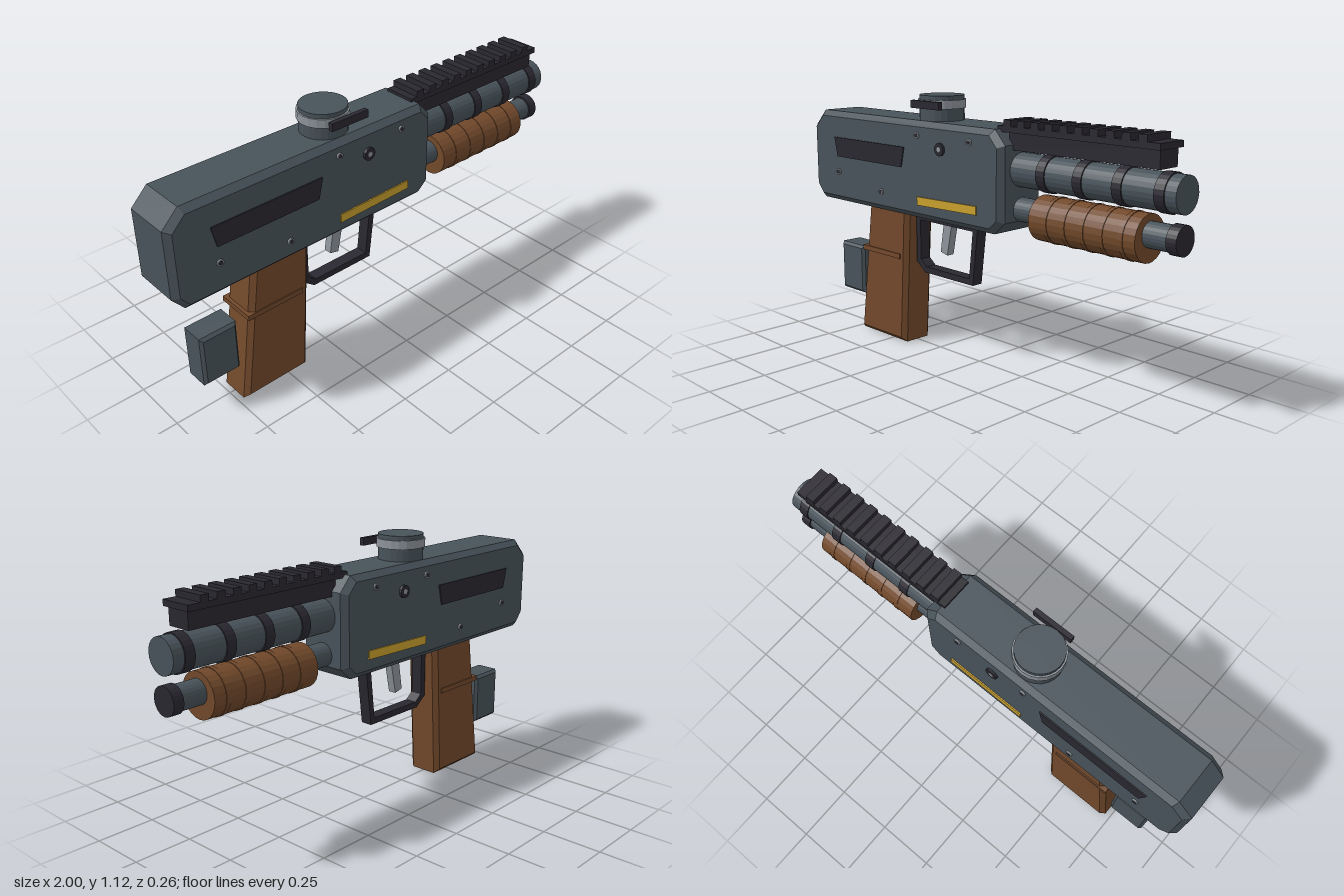
import * as THREE from 'three';

function material(name, color) {
  const m = new THREE.MeshStandardMaterial({ color, flatShading: true });
  m.name = name;
  return m;
}

export function createModel() {
  const slate = material('slate metal', 0x48535a);
  const dark = material('dark metal', 0x2a2830);
  const wood = material('brown wood', 0x72492b);
  const silver = material('silver metal', 0x8d949a);
  const gold = material('gold paint', 0xc9a02e);

  const root = new THREE.Group();
  root.name = 'toyBlaster';

  function add(name, geometry, mat, x = 0, y = 0, z = 0, parent = root) {
    const mesh = new THREE.Mesh(geometry, mat);
    mesh.name = name;
    mesh.position.set(x, y, z);
    parent.add(mesh);
    return mesh;
  }
  function group(name) {
    const g = new THREE.Group();
    g.name = name;
    root.add(g);
    return g;
  }
  const toPoints = (list) => list.map(([x, y]) => new THREE.Vector2(x, y));

  // Side outline extruded across z, centred, with an inward chamfer
  function slab(outline, width, chamfer = 0, hole = null) {
    const shape = new THREE.Shape(toPoints(outline));
    if (hole) shape.holes.push(new THREE.Path(toPoints(hole)));
    const g = new THREE.ExtrudeGeometry(shape, {
      depth: width - 2 * chamfer,
      bevelEnabled: chamfer > 0,
      bevelThickness: chamfer,
      bevelSize: chamfer,
      bevelOffset: -chamfer,
      bevelSegments: 1,
    });
    return g.translate(0, 0, -width / 2 + chamfer);
  }
  const box = (x, y, z) => new THREE.BoxGeometry(x, y, z);
  // Cylinder lying along x from x0 to x1
  const rod = (x0, x1, r, sides = 24) =>
    new THREE.CylinderGeometry(r, r, x1 - x0, sides).rotateZ(Math.PI / 2).translate((x0 + x1) / 2, 0, 0);
  const pin = (r, h) => new THREE.CylinderGeometry(r, r, h, 12).rotateX(Math.PI / 2);

  // Main housing
  add('body', slab([
    [-1, 0.67], [-0.95, 0.61], [0.185, 0.61], [0.24, 0.66],
    [0.24, 0.965], [0.185, 1.025], [-0.93, 1.025], [-1, 0.955],
  ], 0.24, 0.024), slate);

  // Painted details and fasteners, same on both sides
  for (const side of [1, -1]) {
    const details = group(side > 0 ? 'frontDetails' : 'backDetails');
    const z = side * 0.121;
    add('slotPanel', slab([[-0.81, 0.82], [-0.355, 0.82], [-0.335, 0.908], [-0.83, 0.908]], 0.008), dark, 0, 0, z, details);
    add('goldStripe', box(0.358, 0.036, 0.009), gold, -0.072, 0.692, z, details).rotation.z = 0.025;
    for (const [x, y] of [[-0.25, 0.965], [0.065, 0.965], [-0.805, 0.75], [-0.495, 0.695]]) {
      add('screwHead', pin(0.014, 0.012), silver, x, y, z, details);
      add('screwSocket', pin(0.009, 0.014), dark, x, y, z, details);
    }
    add('pivotPin', pin(0.027, 0.018), dark, -0.105, 0.92, z, details);
    add('pivotCentre', pin(0.011, 0.02), silver, -0.105, 0.92, z, details);
  }

  // Top dial with a silver ring and a side lever
  const dial = group('dial');
  add('dialCore', new THREE.CylinderGeometry(0.095, 0.095, 0.115, 24), slate, -0.225, 1.0725, 0, dial);
  add('dialRing', new THREE.CylinderGeometry(0.102, 0.102, 0.036, 20), silver, -0.225, 1.094, 0, dial);
  add('dialLever', box(0.175, 0.032, 0.02), dark, -0.197, 1.094, 0.114, dial);

  // Toothed top rail
  const rail = group('rail');
  add('railBase', box(0.7, 0.075, 0.104), dark, 0.57, 0.9825, 0, rail);
  add('railPlate', box(0.76, 0.024, 0.136), dark, 0.55, 1.025, 0, rail);
  for (let i = 0; i < 10; i++) {
    add('railTooth', box(0.037, 0.026, 0.136), dark, 0.221 + i * 0.0708, 1.049, 0, rail);
  }

  // Upper barrel with dark bands
  const upper = group('upperBarrel');
  add('barrelTube', rod(0.2, 1, 0.069), slate, 0, 0.864, 0, upper);
  for (let i = 0; i < 4; i++) {
    add('barrelBand', rod(-0.021, 0.021, 0.074), dark, 0.396 + i * 0.179, 0.864, 0, upper);
  }

  // Lower tube with end cap and ribbed wooden foregrip
  const lower = group('lowerTube');
  add('magazineTube', rod(0.2, 0.97, 0.049), slate, 0, 0.705, 0, lower);
  add('tubeCap', rod(0.957, 1, 0.056), dark, 0, 0.705, 0, lower);
  add('foregrip', rod(0.356, 0.855, 0.09), wood, 0, 0.69, 0, lower);
  for (let i = 0; i < 5; i++) {
    add('foregripRib', rod(-0.009, 0.009, 0.0925), wood, 0.44 + i * 0.0885, 0.69, 0, lower);
  }

  // Pistol grip and its raised band
  add('grip', slab([[-0.725, 0.005], [-0.408, 0.005], [-0.372, 0.625], [-0.642, 0.625]], 0.16, 0.02), wood);
  add('gripBand', box(0.262, 0.022, 0.17), wood, -0.554, 0.406, 0);

  // Trigger guard and trigger
  add('triggerGuard', slab([
    [-0.372, 0.615], [-0.372, 0.385], [-0.318, 0.343], [-0.014, 0.343], [0.018, 0.615],
  ], 0.052, 0, [
    [-0.345, 0.577], [-0.014, 0.577], [-0.036, 0.37], [-0.308, 0.37], [-0.345, 0.399],
  ]), dark);
  add('trigger', slab([[-0.222, 0.453], [-0.18, 0.443], [-0.15, 0.59], [-0.2, 0.59]], 0.036), silver);

  // Detached rear block
  add('rearBlock', slab([[-0.888, 0.167], [-0.722, 0.167], [-0.722, 0.395], [-0.888, 0.395]], 0.12, 0.012), slate);

  return root;
}
